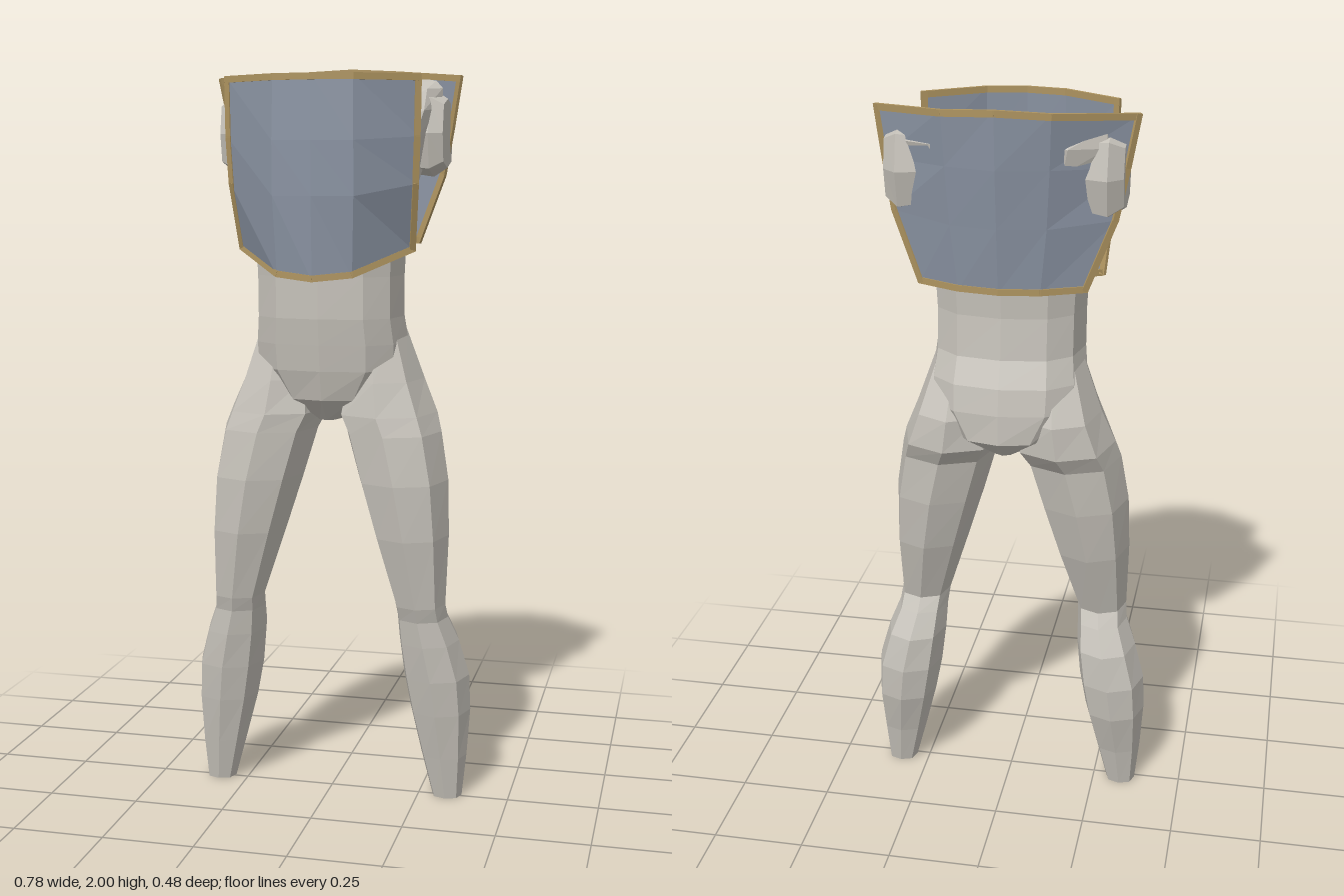
import * as THREE from 'three';
import { mergeGeometries } from 'three/addons/utils/BufferGeometryUtils.js';

const mat = (name, color, extra = {}) => {
  const m = new THREE.MeshStandardMaterial({ color, flatShading: true, ...extra });
  m.name = name;
  return m;
};

function buildGeometry(positions, index) {
  const g = new THREE.BufferGeometry();
  g.setAttribute('position', new THREE.Float32BufferAttribute(positions, 3));
  g.setIndex(index);
  g.computeVertexNormals();
  return g;
}

// Capped loft upward through rings of [yBack, yFront, xMin, xMax, zBack, zFront]
function loft(rings, sides, power) {
  const pos = [], idx = [];
  const soft = (v) => Math.sign(v) * Math.pow(Math.abs(v), power);
  for (const [yb, yf, x0, x1, zb, zf] of rings) {
    for (let j = 0; j < sides; j++) {
      const a = (j / sides) * Math.PI * 2;
      const s = soft(Math.round(Math.sin(a) * 1e6) / 1e6);
      const c = soft(Math.round(Math.cos(a) * 1e6) / 1e6);
      pos.push((x0 + x1) / 2 + ((x1 - x0) / 2) * s,
        (yb + yf) / 2 + ((yf - yb) / 2) * c,
        (zb + zf) / 2 + ((zf - zb) / 2) * c);
    }
  }
  const last = (rings.length - 1) * sides;
  for (let i = 0; i < last; i += sides) {
    for (let j = 0; j < sides; j++) {
      const k = (j + 1) % sides;
      idx.push(i + j, i + k, i + sides + k, i + j, i + sides + k, i + sides + j);
    }
  }
  for (let j = 1; j < sides - 1; j++) {
    idx.push(0, j + 1, j, last, last + j, last + j + 1);
  }
  return buildGeometry(pos, idx);
}

// Mirrors half rows (centre to side) into full rows of points
const mirrorRows = (rows) => rows.map((r) => [
  ...r.slice(1).reverse().map(([x, y, z]) => new THREE.Vector3(-x, y, z)),
  ...r.map((p) => new THREE.Vector3(...p)),
]);

// Curved armour sheet with a flat border band around its edge
function armour(name, halfRows, plateMat, trimMat) {
  const rows = mirrorRows(halfRows), n = rows[0].length;
  const pos = rows.flat().flatMap((p) => p.toArray()), idx = [];
  const isBack = rows[0][2].z < 0;
  for (let i = 0; i < rows.length - 1; i++) {
    for (let j = 0; j < n - 1; j++) {
      const a = i * n + j, b = a + 1, c = a + n, d = c + 1;
      idx.push(...(isBack ? [a, b, d, a, d, c] : [a, c, d, a, d, b]));
    }
  }
  const sheet = new THREE.Mesh(buildGeometry(pos, idx), plateMat);
  sheet.name = name + 'Sheet';

  const bottom = rows[rows.length - 1];
  const loop = [
    ...rows[0],
    ...rows.slice(1, -1).map((r) => r[n - 1]),
    ...[...bottom].reverse(),
    ...rows.slice(1, -1).map((r) => r[0]).reverse(),
  ];
  const bars = loop.map((p, i) => {
    const q = loop[(i + 1) % loop.length];
    const o = new THREE.Object3D();
    o.position.copy(p).lerp(q, 0.5);
    o.up.set(o.position.x * 0.25, 0, o.position.z).normalize();
    o.lookAt(q);
    o.updateMatrix();
    return new THREE.BoxGeometry(0.017, 0.009, p.distanceTo(q) + 0.004)
      .translate(isBack ? 0.005 : -0.005, 0, 0)
      .applyMatrix4(o.matrix);
  });
  const trim = new THREE.Mesh(mergeGeometries(bars), trimMat);
  trim.name = name + 'Trim';

  const group = new THREE.Group();
  group.name = name;
  group.add(sheet, trim);
  return group;
}

export function createModel() {
  const body = mat('warm grey body', 0xc6c2ba);
  const plate = mat('blue grey armour', 0x8a93a2, { side: THREE.DoubleSide });
  const gold = mat('gold trim', 0xae9460);
  const model = new THREE.Group();
  model.name = 'armouredFigure';
  const add = (name, geo) => {
    const m = new THREE.Mesh(geo, body);
    m.name = name;
    model.add(m);
  };

  // Torso from crotch to sloping shoulders: [yBack, yFront, halfWidth, zBack, zFront]
  const torso = [
    [1.06, 1.06, 0.035, -0.13, 0.07],
    [1.12, 1.12, 0.14, -0.203, 0.125],
    [1.2, 1.2, 0.205, -0.2, 0.145],
    [1.27, 1.27, 0.208, -0.188, 0.155],
    [1.34, 1.34, 0.2, -0.16, 0.164],
    [1.45, 1.45, 0.2, -0.15, 0.165],
    [1.55, 1.55, 0.205, -0.155, 0.17],
    [1.7, 1.7, 0.238, -0.175, 0.195],
    [1.84, 1.8, 0.272, -0.198, 0.185],
    [1.9, 1.87, 0.29, -0.2, 0.14],
    [1.945, 1.93, 0.288, -0.165, 0.065],
    [1.967, 1.95, 0.265, -0.13, -0.03],
  ].map(([yb, yf, w, zb, zf]) => [yb, yf, -w, w, zb, zf]);
  add('torso', loft(torso, 12, 0.77));

  // Legs: [y, inner x, outer x, zBack, zFront]
  const leg = [
    [0, 0.287, 0.37, -0.05, 0.032],
    [0.12, 0.255, 0.382, -0.075, 0.055],
    [0.25, 0.222, 0.39, -0.113, 0.08],
    [0.35, 0.203, 0.386, -0.122, 0.095],
    [0.45, 0.192, 0.358, -0.11, 0.105],
    [0.52, 0.19, 0.33, -0.072, 0.108],
    [0.56, 0.186, 0.325, -0.048, 0.12],
    [0.75, 0.125, 0.33, -0.11, 0.152],
    [0.9, 0.078, 0.325, -0.14, 0.16],
    [1.03, 0.04, 0.303, -0.155, 0.152],
    [1.08, 0.015, 0.288, -0.19, 0.146],
    [1.17, 0.03, 0.25, -0.19, 0.125],
    [1.31, 0.06, 0.2, -0.12, 0.08],
  ];
  // Shoulder stumps, lofted outward: [distance, halfHeight, zBack, zFront]
  const stump = [
    [0.18, 0.1, -0.14, 0.05],
    [0.265, 0.113, -0.164, 0.045],
    [0.302, 0.09, -0.13, 0.03],
  ].map(([d, h, zb, zf]) => [d, d, -h, h, zb, zf]);

  for (const [side, s] of [['left', 1], ['right', -1]]) {
    const rings = leg.map(([y, xi, xo, zb, zf]) =>
      [y, y, s > 0 ? xi : -xo, s > 0 ? xo : -xi, zb, zf]);
    add(side + 'Leg', loft(rings, 8, 0.85));
    add(side + 'ShoulderStump', loft(stump, 8, 0.6).rotateZ(-s * Math.PI / 2).translate(0, 1.82, 0));
  }

  // Chest and back armour, half rows from top to bottom
  model.add(armour('chestPlate', [
    [[0, 1.963, 0.232], [0.105, 1.963, 0.214], [0.257, 1.963, 0.116]],
    [[0, 1.8, 0.238], [0.107, 1.8, 0.22], [0.255, 1.81, 0.116]],
    [[0, 1.66, 0.237], [0.107, 1.66, 0.218], [0.25, 1.69, 0.108]],
    [[0, 1.445, 0.226], [0.1, 1.455, 0.2], [0.235, 1.517, 0.064]],
  ], plate, gold));
  model.add(armour('backPlate', [
    [[0, 1.996, -0.236], [0.135, 1.988, -0.213], [0.332, 1.968, -0.075]],
    [[0, 1.85, -0.227], [0.13, 1.85, -0.2], [0.31, 1.84, -0.09]],
    [[0, 1.7, -0.21], [0.122, 1.7, -0.187], [0.285, 1.71, -0.106]],
    [[0, 1.53, -0.19], [0.105, 1.53, -0.175], [0.215, 1.53, -0.127]],
  ], plate, gold));
  return model;
}
